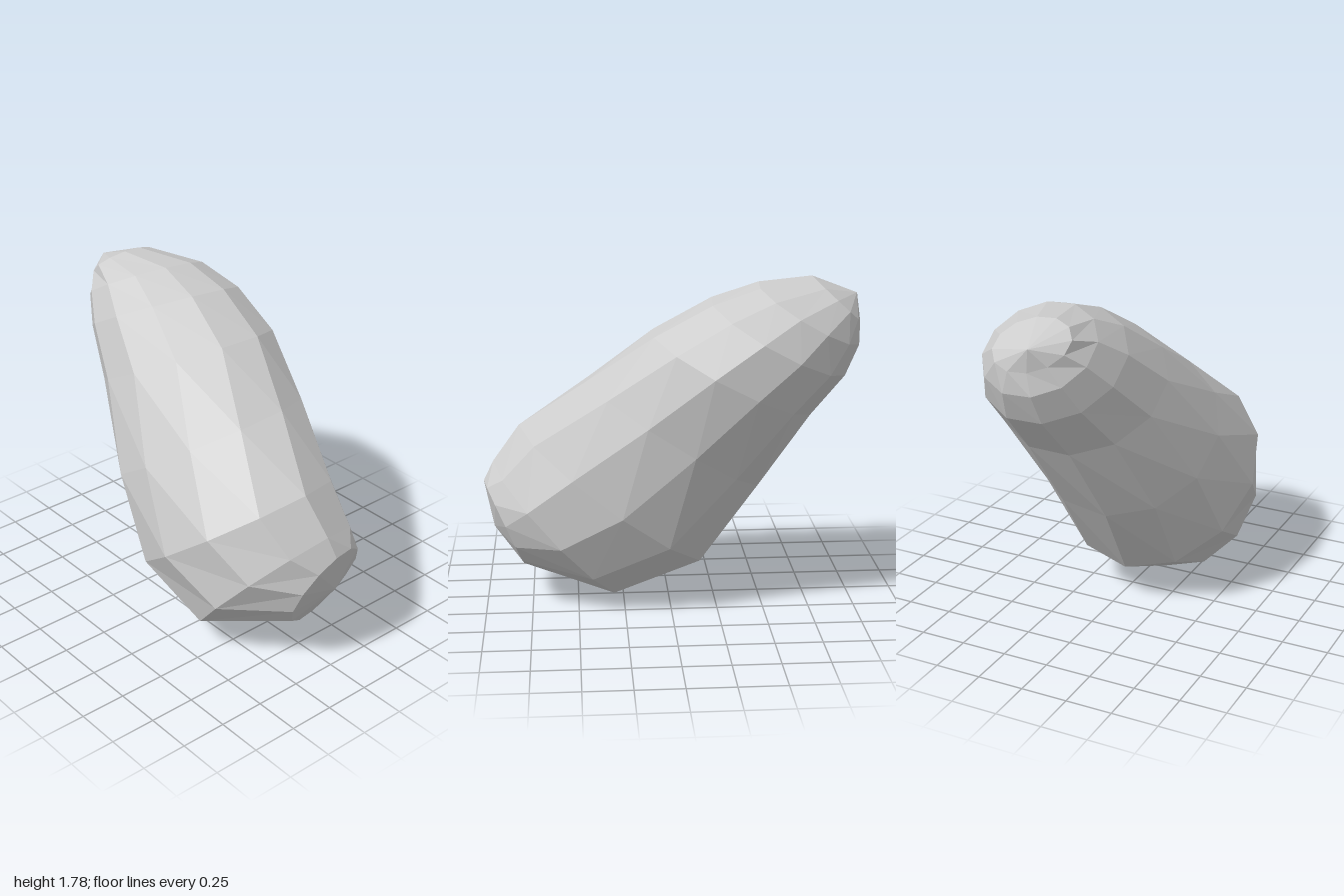
import * as THREE from 'three';

// Slanted elliptical sections from the front tip to the back tip:
// centre (x, y, z), half-axis towards the top, half-axis towards the model's left
const SECTIONS = [
  [[0.06, 0.44, 0.95], [0, 0, 0], [0, 0, 0]],
  [[0.03, 0.45, 0.90], [-0.09, 0.21, 0.105], [0.225, 0.11, 0.01]],
  [[-0.05, 0.395, 0.61], [-0.08, 0.375, 0.335], [0.43, 0.11, 0.07]],
  [[-0.05, 0.595, 0.30], [-0.13, 0.37, 0.50], [0.51, 0.10, 0.10]],
  [[0.02, 0.95, -0.025], [-0.03, 0.30, 0.47], [0.51, 0.06, 0.04]],
  [[0.12, 1.295, -0.33], [0.02, 0.225, 0.43], [0.46, 0.0, 0.02]],
  [[0.155, 1.49, -0.57], [0.02, 0.20, 0.365], [0.40, -0.02, 0.03]],
  [[0.15, 1.61, -0.73], [0.02, 0.16, 0.275], [0.315, -0.02, 0.02]],
  [[0.105, 1.68, -0.88], [-0.02, 0.11, 0.12], [0.20, -0.01, -0.01]],
  [[0.06, 1.70, -1.00], [0, 0, 0], [0, 0, 0]],
];
const SIDES = 12;

// Point number i on section s
function sectionPoint(s, i) {
  const [centre, up, side] = SECTIONS[s];
  const angle = ((i + 0.5) / SIDES) * Math.PI * 2;
  return centre.map((c, k) => c + up[k] * Math.cos(angle) + side[k] * Math.sin(angle));
}

// Faceted skin joining neighbouring sections, closed by a fan at each tip
function loftGeometry() {
  const positions = [];
  const last = SECTIONS.length - 1;
  for (let s = 0; s < last; s++) {
    for (let i = 0; i < SIDES; i++) {
      const a = sectionPoint(s, i);
      const b = sectionPoint(s, i + 1);
      const c = sectionPoint(s + 1, i + 1);
      const d = sectionPoint(s + 1, i);
      if (s > 0) positions.push(...a, ...b, ...d);
      if (s < last - 1) positions.push(...b, ...c, ...d);
    }
  }
  const geometry = new THREE.BufferGeometry();
  geometry.setAttribute('position', new THREE.Float32BufferAttribute(positions, 3));
  geometry.computeVertexNormals();
  return geometry;
}

export function createModel() {
  const stone = new THREE.MeshStandardMaterial({ color: 0xcccccc, flatShading: true });
  stone.name = 'light grey stone';

  const rock = new THREE.Mesh(loftGeometry(), stone);
  rock.name = 'rock';

  const model = new THREE.Group();
  model.name = 'leaning rock';
  model.add(rock);
  return model;
}
